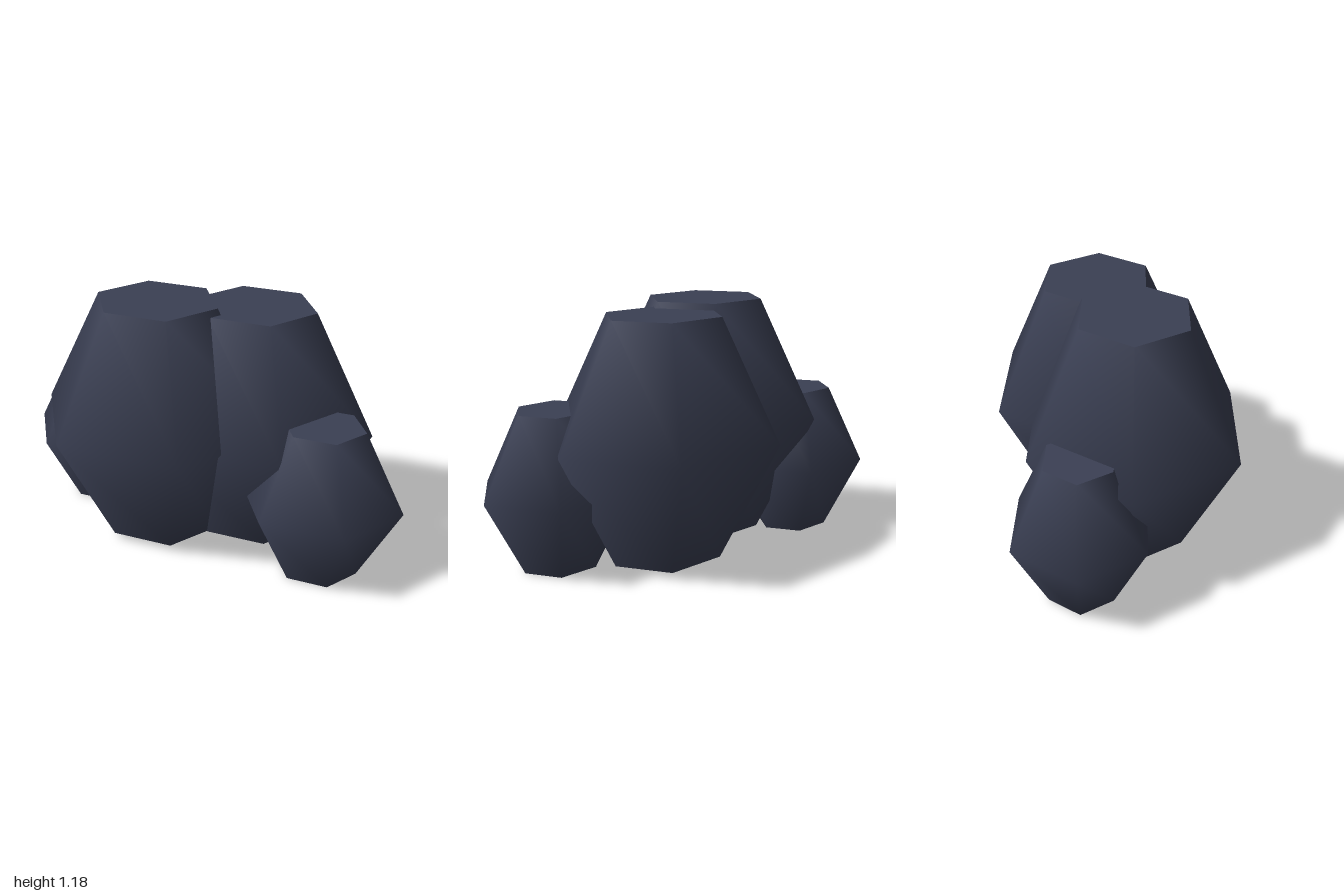
import * as THREE from 'three';

const slate = new THREE.MeshStandardMaterial({ color: 0x3b4054 });
slate.name = 'dark slate';

// Unit boulder: a hexagonal barrel with smooth sides and flat caps half as wide as its waist
function makeBoulder(name, x, z, radius, bottom, top) {
  const group = new THREE.Group();
  group.name = name;

  const profile = [[0.5, -1], [1, 0], [0.5, 1]].map(([r, y]) => new THREE.Vector2(r, y));
  const sides = new THREE.Mesh(new THREE.LatheGeometry(profile, 6, Math.PI / 2), slate);
  sides.name = name + 'Sides';
  group.add(sides);

  for (const s of [1, -1]) {
    const cap = new THREE.Mesh(new THREE.CircleGeometry(0.5, 6), slate);
    cap.name = name + (s > 0 ? 'Top' : 'Bottom');
    cap.rotation.x = -s * Math.PI / 2;
    cap.position.y = s;
    group.add(cap);
  }

  // Slightly flattened from front to back
  group.scale.set(radius, (top - bottom) / 2, radius * 0.91);
  group.position.set(x, (top + bottom) / 2, z);
  return group;
}

export function createModel() {
  const model = new THREE.Group();
  model.name = 'boulderCluster';
  model.add(
    makeBoulder('largeFrontBoulder', -0.213, 0.08, 0.592, 0.035, 1.182),
    makeBoulder('largeBackBoulder', 0.2, -0.1, 0.58, 0.032, 1.153),
    makeBoulder('smallRightBoulder', -0.63, -0.145, 0.37, 0, 0.718),
    makeBoulder('smallLeftBoulder', 0.616, 0.16, 0.381, 0.003, 0.739)
  );
  return model;
}
